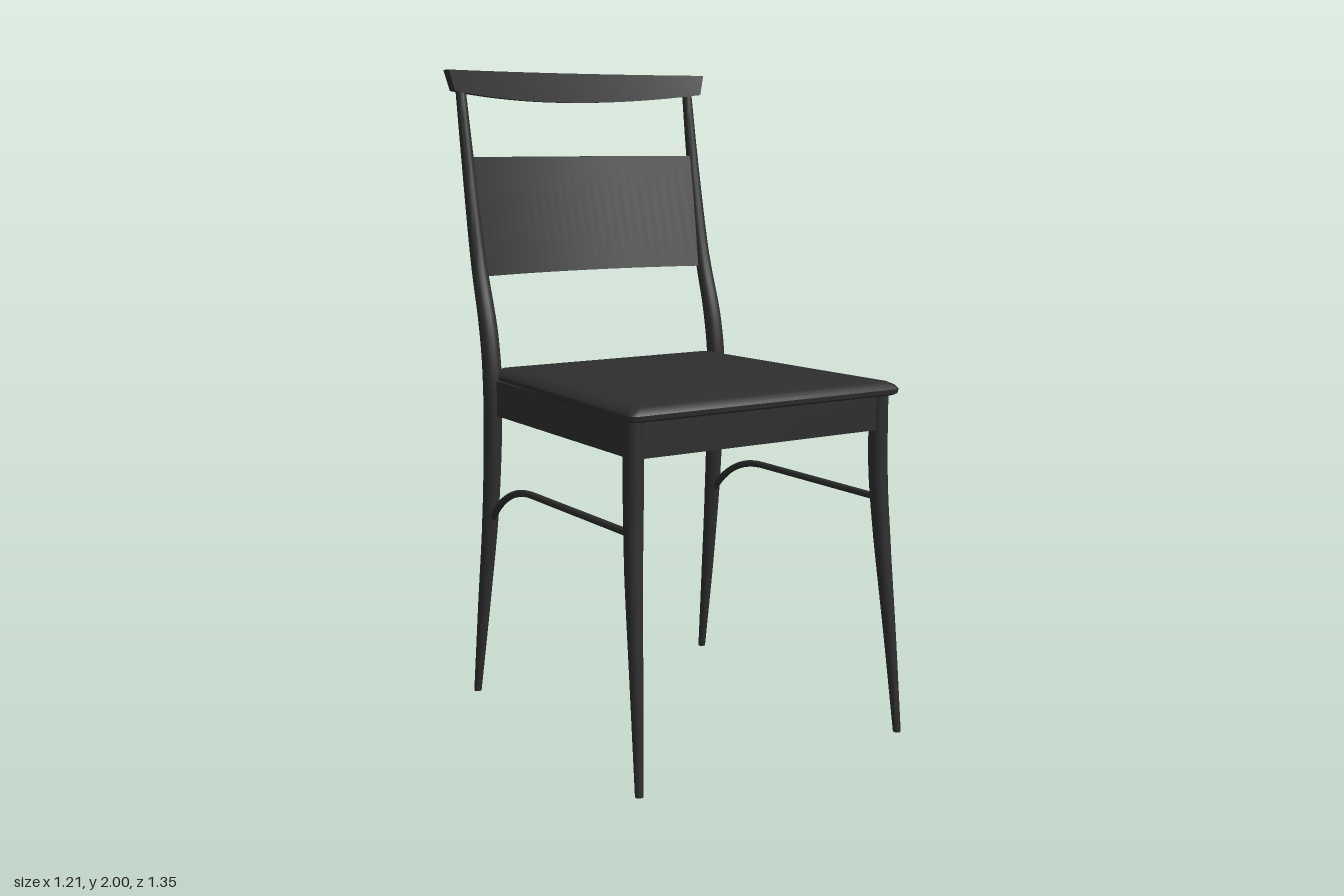
import * as THREE from 'three';
import { toCreasedNormals } from 'three/addons/utils/BufferGeometryUtils.js';

const material = new THREE.MeshStandardMaterial({ color: 0x2e2e2e });

// Skins a row of closed rings (counter-clockwise about the travel direction) and caps both ends.
function loft(rings) {
  const n = rings[0].length, pos = [], idx = [];
  rings.forEach(r => r.forEach(p => pos.push(p.x, p.y, p.z)));
  for (let i = 0; i < rings.length - 1; i++) {
    for (let j = 0; j < n; j++) {
      const a = i * n + j, b = i * n + (j + 1) % n;
      idx.push(a, b, b + n, a, b + n, a + n);
    }
  }
  [0, rings.length - 1].forEach((i, end) => {
    const c = new THREE.Vector3();
    rings[i].forEach(p => c.addScaledVector(p, 1 / n));
    const k = pos.length / 3;
    pos.push(c.x, c.y, c.z);
    for (let j = 0; j < n; j++) {
      const a = i * n + j, b = i * n + (j + 1) % n;
      if (end) idx.push(k, a, b);
      else idx.push(k, b, a);
    }
  });
  const g = new THREE.BufferGeometry();
  g.setAttribute('position', new THREE.Float32BufferAttribute(pos, 3));
  g.setIndex(idx);
  return toCreasedNormals(g, 0.75);
}

// Round tapered leg through stations of [x, y, z, radius].
function leg(stations, side) {
  const path = new THREE.CatmullRomCurve3(
    stations.map(([x, y, z]) => new THREE.Vector3(x * side, y, z)), false, 'centripetal');
  const rings = [], last = stations.length - 1, steps = last * 5;
  for (let i = 0; i <= steps; i++) {
    const t = i / steps, c = path.getPoint(t);
    const k = Math.min(Math.floor(t * last), last - 1);
    const r = THREE.MathUtils.lerp(stations[k][3], stations[k + 1][3], t * last - k);
    rings.push(Array.from({ length: 16 }, (_, j) => {
      const a = j / 16 * Math.PI * 2;
      return new THREE.Vector3(c.x + r * Math.cos(a), c.y, c.z - r * Math.sin(a));
    }));
  }
  return loft(rings);
}

// Trapezoid outline with rounded corners, at height y.
function trapezoid(front, back, zFront, zBack, y, inset, r) {
  const corners = [[back, zBack, 1, -1], [-back, zBack, -1, -1], [-front, zFront, -1, 1], [front, zFront, 1, 1]];
  return corners.flatMap(([x, z, sx, sz], q) => [0, 1, 2, 3].map(i => {
    const a = (q + i / 3) * Math.PI / 2;
    return new THREE.Vector3(
      x - sx * (inset + r) + r * Math.cos(a), y, z - sz * (inset + r) - r * Math.sin(a));
  }));
}

// Bowed slat swept across x; section(u) gives [y, z, endScale] corners for u in -1..1.
function slat(half, section) {
  const rings = [];
  for (let i = 0; i <= 24; i++) {
    const u = i / 12 - 1;
    rings.push(section(u).map(([y, z, s = 1]) => new THREE.Vector3(u * half * s, y, z)));
  }
  return loft(rings);
}

export function createModel() {
  const model = new THREE.Group();
  const chair = new THREE.Group();
  chair.name = 'chair';
  chair.rotation.y = -Math.PI / 12;
  chair.position.set(-0.006, 0, -0.002);
  model.add(chair);
  const add = (name, geometry) => {
    const mesh = new THREE.Mesh(geometry, material);
    mesh.name = name;
    chair.add(mesh);
  };

  // Seat pad with a softly crowned top
  const pad = [[1.036, 0.012], [1.042, 0.002], [1.055, 0], [1.066, 0.008], [1.075, 0.025], [1.08, 0.06], [1.084, 0.13], [1.086, 0.25]];
  add('seat', loft(pad.map(([y, inset]) => trapezoid(0.47, 0.415, 0.54, -0.4, y, inset, 0.02))));

  // Seat frame
  add('apron', loft([0.93, 1.04].map(y => trapezoid(0.44, 0.425, 0.5, -0.385, y, 0, 0.004))));

  for (const side of [-1, 1]) {
    const label = side > 0 ? 'left' : 'right';
    add(label + 'FrontLeg', leg([
      [0.463, 0, 0.561, 0.012], [0.452, 0.3, 0.531, 0.019], [0.44, 0.6, 0.499, 0.026],
      [0.432, 0.8, 0.485, 0.029], [0.43, 1.04, 0.483, 0.029]], side));
    add(label + 'BackLeg', leg([
      [0.443, 0, -0.474, 0.012], [0.436, 0.3, -0.43, 0.02], [0.428, 0.6, -0.39, 0.026],
      [0.425, 0.85, -0.371, 0.029], [0.425, 1.05, -0.367, 0.03], [0.424, 1.2, -0.39, 0.029],
      [0.423, 1.4, -0.45, 0.025], [0.424, 1.7, -0.51, 0.02], [0.426, 1.95, -0.553, 0.016]], side));

    // Side stretcher, straight and then bending down into the back leg
    const path = new THREE.CurvePath();
    const p = (y, z, x) => new THREE.Vector3(x * side, y, z);
    path.add(new THREE.LineCurve3(p(0.72, 0.49, 0.435), p(0.72, -0.1, 0.43)));
    path.add(new THREE.QuadraticBezierCurve3(p(0.72, -0.1, 0.43), p(0.72, -0.28, 0.429), p(0.575, -0.393, 0.428)));
    add(label + 'Stretcher', new THREE.TubeGeometry(path, 40, 0.011, 10));
  }

  // Wide bowed back panel
  add('backPanel', slat(0.42, u => {
    const bow = 0.06 * (1 - u * u);
    const low = -0.44 - bow, high = -0.512 - bow, t = 0.011;
    return [[1.73, high - t], [1.73, high + t], [1.36, low + t], [1.36, low - t]];
  }));

  // Overhanging bowed top rail with a slightly sagging lower edge
  add('topRail', slat(0.477, u => {
    const z = -0.545 - 0.075 * (1 - u * u), low = 1.905 + 0.03 * u * u;
    return [[2, z - 0.021], [2, z + 0.019], [low, z + 0.026, 0.965], [low, z - 0.012, 0.965]];
  }));

  return model;
}
